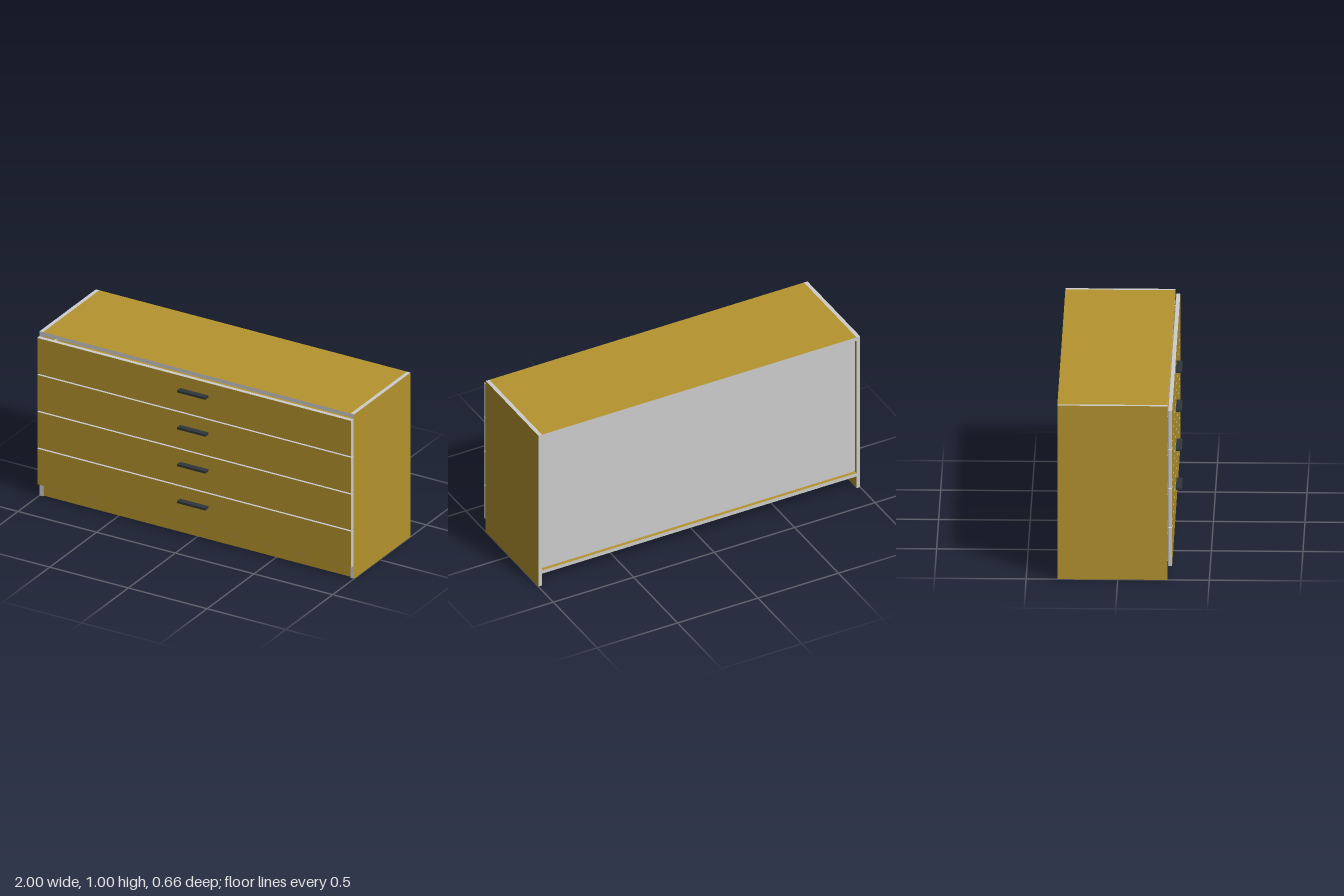
import * as THREE from 'three';

const wood = new THREE.MeshStandardMaterial({ color: 0xb5932d });
wood.name = 'wood';
const edge = new THREE.MeshStandardMaterial({ color: 0xcdcdcd });
edge.name = 'paleEdge';
const dark = new THREE.MeshStandardMaterial({ color: 0x30373a });
dark.name = 'darkHandle';

const T = 0.0225; // board thickness
const BACK = -0.33, FRONT = 0.271; // carcass depth range

// Board given by its min and max corners; its two broad faces are wood, its cut edges pale
function board(name, min, max) {
  const size = max.map((v, i) => v - min[i]);
  const thin = size.indexOf(Math.min(...size));
  const materials = [0, 0, 1, 1, 2, 2].map((axis) => (axis === thin ? wood : edge));
  const mesh = new THREE.Mesh(new THREE.BoxGeometry(...size), materials);
  mesh.position.set(...max.map((v, i) => (v + min[i]) / 2));
  mesh.name = name;
  return mesh;
}

// Drawer front with slightly eased edges
function drawerFront(width, height) {
  const b = 0.002, w = width / 2, h = height / 2;
  const shape = new THREE.Shape([
    new THREE.Vector2(-w, -h), new THREE.Vector2(w, -h),
    new THREE.Vector2(w, h), new THREE.Vector2(-w, h),
  ]);
  const geo = new THREE.ExtrudeGeometry(shape, {
    depth: T - 2 * b, bevelEnabled: true, bevelSize: b, bevelThickness: b,
    bevelOffset: -b, bevelSegments: 1,
  });
  const mesh = new THREE.Mesh(geo, [wood, edge]);
  mesh.position.z = b;
  mesh.name = 'drawerFront';
  return mesh;
}

function createDrawer(width, height) {
  const drawer = new THREE.Group();
  drawer.name = 'drawer';
  drawer.add(drawerFront(width, height));

  // Open-topped box behind the front
  const x = 0.955, y0 = -0.085, y1 = 0.06, z0 = -0.54, t = 0.016;
  drawer.add(
    board('drawerSideLeft', [x - t, y0, z0], [x, y1, 0]),
    board('drawerSideRight', [-x, y0, z0], [-x + t, y1, 0]),
    board('drawerBack', [-x + t, y0, z0], [x - t, y1, z0 + t]),
    board('drawerBottom', [-x + t, y0, z0 + t], [x - t, y0 + 0.008, 0]),
  );

  // Flat pull above the middle of the front
  const handle = new THREE.Mesh(new THREE.BoxGeometry(0.18, 0.013, 0.034), dark);
  handle.position.set(0, 0.027, T + 0.0165);
  handle.name = 'handle';
  drawer.add(handle);
  return drawer;
}

export function createModel() {
  const model = new THREE.Group();
  model.name = 'chestOfDrawers';
  const inner = 1 - T, floor = 0.078;

  // Carcass
  model.add(
    board('leftSide', [inner, 0, BACK], [1, 1, FRONT]),
    board('rightSide', [-1, 0, BACK], [-inner, 1, FRONT]),
    board('top', [-inner, 1 - T, BACK], [inner, 1, FRONT]),
    board('bottom', [-inner, floor, BACK], [inner, floor + T, FRONT]),
    board('plinth', [-inner, 0, FRONT - 0.01 - T], [inner, floor, FRONT - 0.01]),
  );

  // Thin back panel, set in from the rear edges
  const back = new THREE.Mesh(
    new THREE.BoxGeometry(2 * inner, 1 - 2 * T - floor, 0.006), edge);
  back.position.set(0, (1 + floor) / 2, BACK + 0.023);
  back.name = 'backPanel';
  model.add(back);

  // Four equal drawers
  const height = 0.2195, pitch = 0.2247;
  for (let i = 0; i < 4; i++) {
    const drawer = createDrawer(1.997, height);
    drawer.position.set(0, 0.079 + height / 2 + i * pitch, 0.2745);
    model.add(drawer);
  }
  return model;
}
